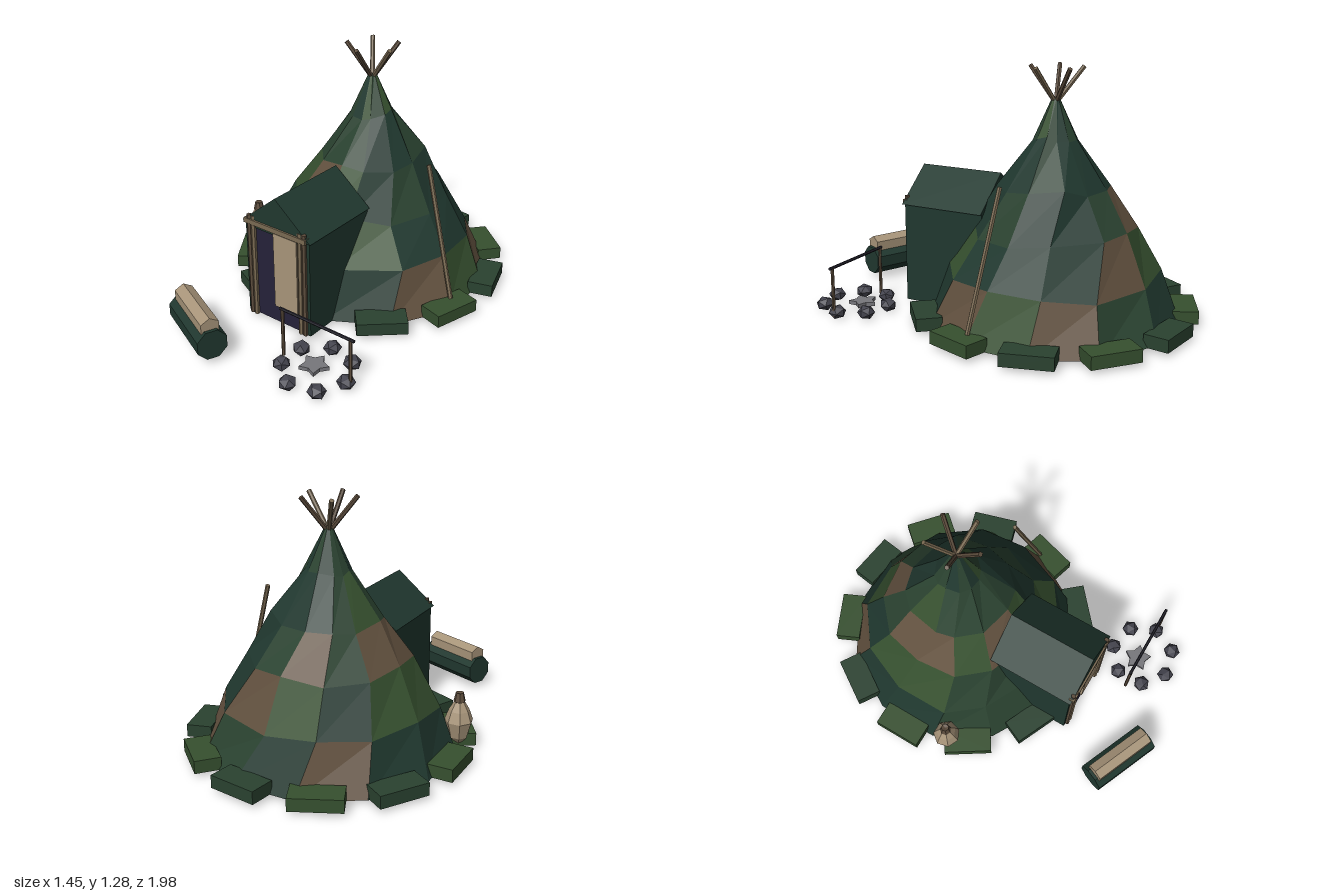
import * as THREE from 'three';

const V = (x, y, z) => new THREE.Vector3(x, y, z);
const mat = (color) => new THREE.MeshStandardMaterial({ color, flatShading: true, side: THREE.DoubleSide });
const M = {
  teal: mat(0x20382f), green: mat(0x36502f), moss: mat(0x2a4230), brown: mat(0x62513f),
  wood: mat(0x7a6a52), darkWood: mat(0x5c4c3c), cream: mat(0xa8957a), purple: mat(0x25213a),
  stone: mat(0x44444e), ash: mat(0x77777c), iron: mat(0x23222c),
};
const hash = (i, j) => {
  const s = Math.sin(i * 12.9898 + j * 78.233) * 43758.5453;
  return s - Math.floor(s);
};

export function createModel() {
  const root = new THREE.Group();
  const CZ = -0.27; // tent centre

  const add = (name, geo, m, x = 0, y = 0, z = 0, parent = root) => {
    const mesh = new THREE.Mesh(geo, m);
    mesh.name = name;
    mesh.position.set(x, y, z);
    parent.add(mesh);
    return mesh;
  };
  const box = (name, m, w, h, d, x, y, z, parent) => add(name, new THREE.BoxGeometry(w, h, d), m, x, y, z, parent);
  const pole = (name, m, a, b, r, sides = 6) => {
    const d = b.clone().sub(a);
    const mesh = add(name, new THREE.CylinderGeometry(r, r, d.length(), sides), m);
    mesh.position.copy(a).addScaledVector(d, 0.5);
    mesh.quaternion.setFromUnitVectors(V(0, 1, 0), d.normalize());
    return mesh;
  };

  // Patchwork cone: rings of slightly shifted points, faces sorted by colour
  const rings = [[0.64, 0.025], [0.535, 0.26], [0.405, 0.48], [0.275, 0.7], [0.115, 0.93], [0.018, 1.13]];
  const SIDES = 12;
  const point = (i, j) => {
    const k = i % SIDES;
    const inner = j > 0 && j < rings.length - 1;
    const a = ((k + 0.5 + (inner ? (hash(k, j) - 0.5) * 0.4 : 0)) / SIDES) * Math.PI * 2 + j * 0.09;
    const r = rings[j][0] * (inner ? 0.96 + hash(k + 5, j) * 0.08 : 1);
    const y = rings[j][1] + (inner ? (hash(k, j + 9) - 0.5) * 0.05 : 0);
    return [Math.sin(a) * r, y, Math.cos(a) * r];
  };
  const patches = { teal: [], green: [], moss: [], brown: [] };
  for (let j = 0; j < rings.length - 1; j++) {
    for (let i = 0; i < SIDES; i++) {
      const h = hash(i + 2, j + 3);
      const key = h < 0.38 ? 'teal' : h < 0.62 ? 'green' : h < 0.84 || j > 2 ? 'moss' : 'brown';
      const [a, b, c, d] = [point(i, j), point(i + 1, j), point(i + 1, j + 1), point(i, j + 1)];
      patches[key].push(...a, ...b, ...c, ...a, ...c, ...d);
    }
  }
  const tent = new THREE.Group();
  tent.name = 'tentCover';
  tent.position.z = CZ;
  root.add(tent);
  for (const [key, pos] of Object.entries(patches)) {
    const g = new THREE.BufferGeometry();
    g.setAttribute('position', new THREE.Float32BufferAttribute(pos, 3));
    g.computeVertexNormals();
    add(`${key}Patches`, g, M[key], 0, 0, 0, tent);
  }

  // Crossed pole tips above the cover
  for (let i = 0; i < 5; i++) {
    const a = (i / 5) * Math.PI * 2;
    const s = Math.sin(a), c = Math.cos(a);
    pole('tentPole', i % 2 ? M.wood : M.darkWood,
      V(-s * 0.04, 1.05, CZ - c * 0.04), V(s * 0.14, 1.28, CZ + c * 0.14), 0.012);
  }

  // Ring of edging blocks, left open at the doorway
  for (let i = 0; i < 11; i++) {
    if (i === 8) continue;
    const a = Math.PI + (i / 11) * Math.PI * 2; // angle in the ground plane
    const b = box('edgingBlock', i % 2 ? M.moss : M.green, 0.13, 0.065, 0.255,
      Math.cos(a) * 0.655, 0.058, CZ + Math.sin(a) * 0.655);
    b.rotation.y = -a;
  }

  // Porch: dark interior, side walls, gabled roof
  box('porchInterior', M.purple, 0.35, 0.5, 0.44, 0, 0.275, 0.27);
  for (const s of [-1, 1]) {
    box('porchWall', M.teal, 0.03, 0.53, 0.46, s * 0.185, 0.29, 0.265);
    for (const x of [0.146, 0.172]) {
      pole('doorPost', x < 0.16 ? M.wood : M.darkWood, V(s * x, 0.025, 0.5), V(s * x, 0.585, 0.5), 0.013);
    }
  }
  const gable = new THREE.Shape([[-0.213, 0.545], [0.213, 0.545], [0, 0.722]].map((p) => new THREE.Vector2(...p)));
  add('porchRoof', new THREE.ExtrudeGeometry(gable, { depth: 0.47, bevelEnabled: false }), M.teal, 0, 0, 0.035);
  box('doorLintel', M.wood, 0.385, 0.026, 0.03, -0.003, 0.553, 0.5);
  box('doorHeader', M.teal, 0.3, 0.025, 0.02, 0, 0.53, 0.487);
  box('doorFlap', M.cream, 0.145, 0.41, 0.012, 0.052, 0.324, 0.496);

  // Staff leaning on the cover
  pole('leaningStaff', M.wood, V(0.612, 0.09, -0.125), V(0.41, 0.757, -0.187), 0.012);

  // Jar with a tied neck
  const jar = [[0, 0.02], [0.048, 0.075], [0.072, 0.16], [0.052, 0.215], [0.02, 0.27]];
  const neck = [[0.02, 0.255], [0.03, 0.262], [0.02, 0.308], [0, 0.3]];
  const lathe = (pts) => new THREE.LatheGeometry(pts.map((p) => new THREE.Vector2(...p)), 7);
  add('jarBody', lathe(jar), M.cream, -0.592, 0, -0.02);
  add('jarNeck', lathe(neck), M.darkWood, -0.592, 0, -0.02);

  // Bedroll with a smaller roll on top
  const bedroll = new THREE.Group();
  bedroll.name = 'bedroll';
  bedroll.position.set(-0.222, 0, 0.84);
  bedroll.rotation.y = -0.41;
  root.add(bedroll);
  const roll = (name, r, len, sides, m, y) => {
    const g = new THREE.CylinderGeometry(r, r, len, sides).rotateY(Math.PI / sides).rotateZ(Math.PI / 2);
    add(name, g, m, 0, y, 0, bedroll);
  };
  roll('largeRoll', 0.08, 0.38, 8, M.teal, 0.108);
  roll('smallRoll', 0.052, 0.345, 6, M.cream, 0.193);

  // Fire pit: stone circle, ash and a spit
  const FX = 0.387, FZ = 0.68;
  for (let i = 0; i < 7; i++) {
    const a = (i / 7) * Math.PI * 2;
    const s = add('fireStone', new THREE.IcosahedronGeometry(0.046, 0), M.stone,
      FX + Math.cos(a) * 0.17, 0.037, FZ + Math.sin(a) * 0.17);
    s.scale.y = 0.8;
    s.rotation.y = i * 1.3;
  }
  const star = new THREE.Shape();
  for (let i = 0; i < 10; i++) {
    const a = (i / 10) * Math.PI * 2 + 0.3;
    const r = i % 2 ? 0.045 : 0.075;
    star[i ? 'lineTo' : 'moveTo'](Math.cos(a) * r, Math.sin(a) * r);
  }
  const ash = new THREE.ExtrudeGeometry(star, { depth: 0.02, bevelEnabled: false }).rotateX(-Math.PI / 2);
  add('ashPile', ash, M.ash, 0.36, 0.02, 0.665);
  for (const x of [0.185, 0.582]) pole('spitPost', M.darkWood, V(x, 0.02, FZ), V(x, 0.28, FZ), 0.009);
  pole('spitBar', M.iron, V(0.17, 0.277, FZ), V(0.602, 0.277, FZ), 0.008);

  return root;
}
